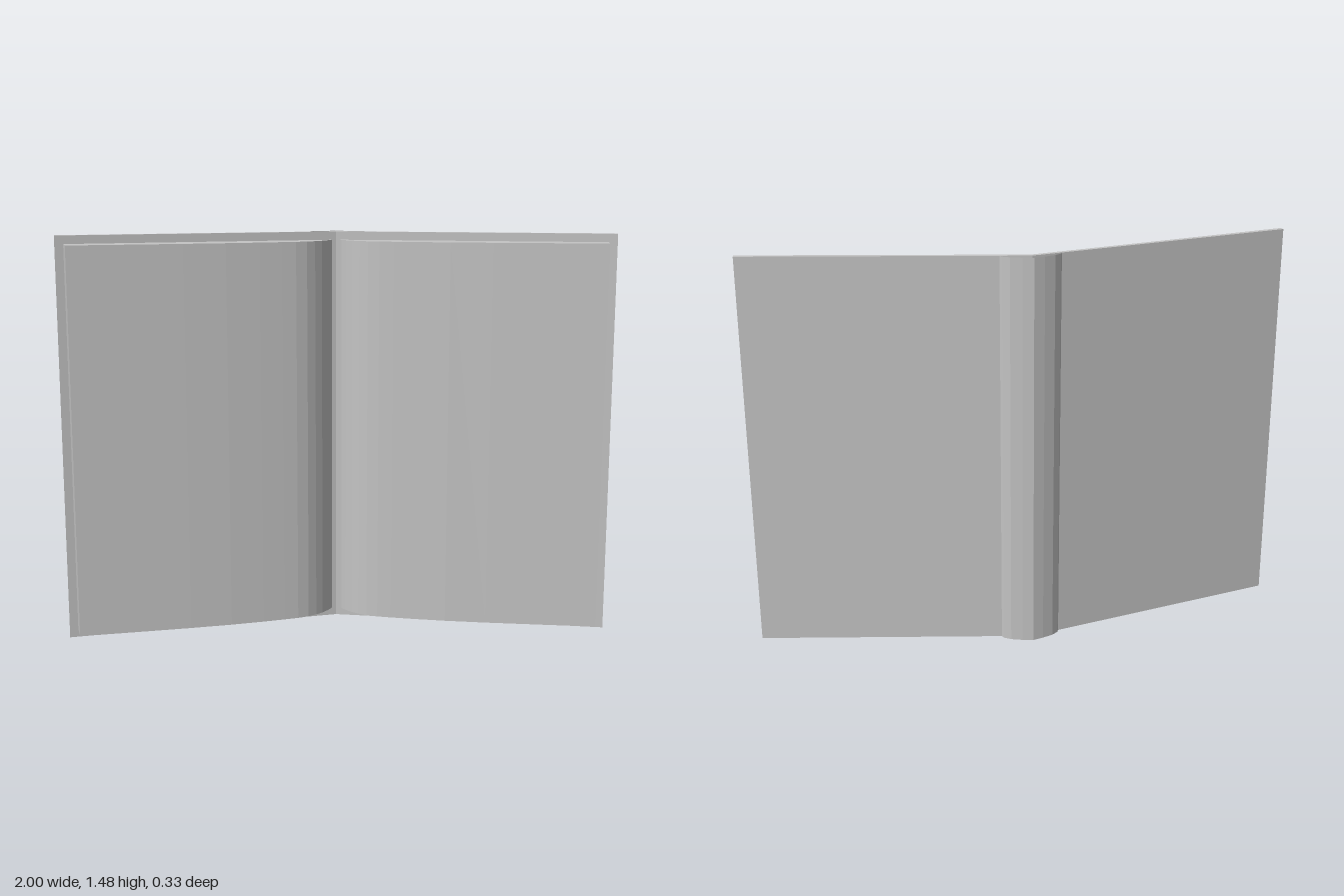
import * as THREE from 'three';

const HEIGHT = 1.475;
const MARGIN = 0.03;

// Profiles of the left half seen from above, as [x, z]
const COVER = [[0, -0.133], [1, 0.072], [0.997, 0.092], [0, -0.116]];
const PAGES = [
  [0.015, -0.114], [0.02, -0.1], [0.035, -0.077], [0.055, -0.052], [0.08, -0.03],
  [0.11, -0.01], [0.15, 0.007], [0.2, 0.021], [0.28, 0.042], [0.4, 0.07],
  [0.55, 0.099], [0.75, 0.133], [0.95, 0.166], [0.967, 0.085],
];
const SPINE = [[0.11, -0.111], [0.103, -0.125], [0.08, -0.141], [0.04, -0.156], [0, -0.166]];

// Raises a closed floor profile to a solid
function prism(profile, side, y, height, material, name) {
  const shape = new THREE.Shape(profile.map(([x, z]) => new THREE.Vector2(side * x, -z)));
  const geometry = new THREE.ExtrudeGeometry(shape, { depth: height, bevelEnabled: false });
  geometry.rotateX(-Math.PI / 2).translate(0, y, 0);
  const mesh = new THREE.Mesh(geometry, material);
  mesh.name = name;
  return mesh;
}

// Raises an open line to a thin, faceted wall
function wall(line, height, material, name) {
  const positions = [];
  for (let i = 0; i < line.length - 1; i++) {
    const [ax, az] = line[i];
    const [bx, bz] = line[i + 1];
    positions.push(ax, 0, az, bx, 0, bz, bx, height, bz);
    positions.push(ax, 0, az, bx, height, bz, ax, height, az);
  }
  const geometry = new THREE.BufferGeometry();
  geometry.setAttribute('position', new THREE.Float32BufferAttribute(positions, 3));
  geometry.computeVertexNormals();
  const mesh = new THREE.Mesh(geometry, material);
  mesh.name = name;
  return mesh;
}

export function createModel() {
  const book = new THREE.Group();
  book.name = 'openBook';
  const grey = new THREE.MeshStandardMaterial({ name: 'grey', color: 0xc4c4c4, side: THREE.DoubleSide });

  // Cover boards and page blocks, mirrored about the fold
  for (const [side, label] of [[1, 'left'], [-1, 'right']]) {
    book.add(prism(COVER, side, 0, HEIGHT, grey, label + 'Cover'));
    book.add(prism(PAGES, side, MARGIN, HEIGHT - 2 * MARGIN, grey, label + 'Pages'));
  }

  // Hollow spine with a central ridge, open at top and bottom
  const farHalf = SPINE.slice(0, -1).reverse().map(([x, z]) => [-x, z]);
  book.add(wall([...SPINE, ...farHalf], HEIGHT, grey, 'spine'));
  return book;
}
